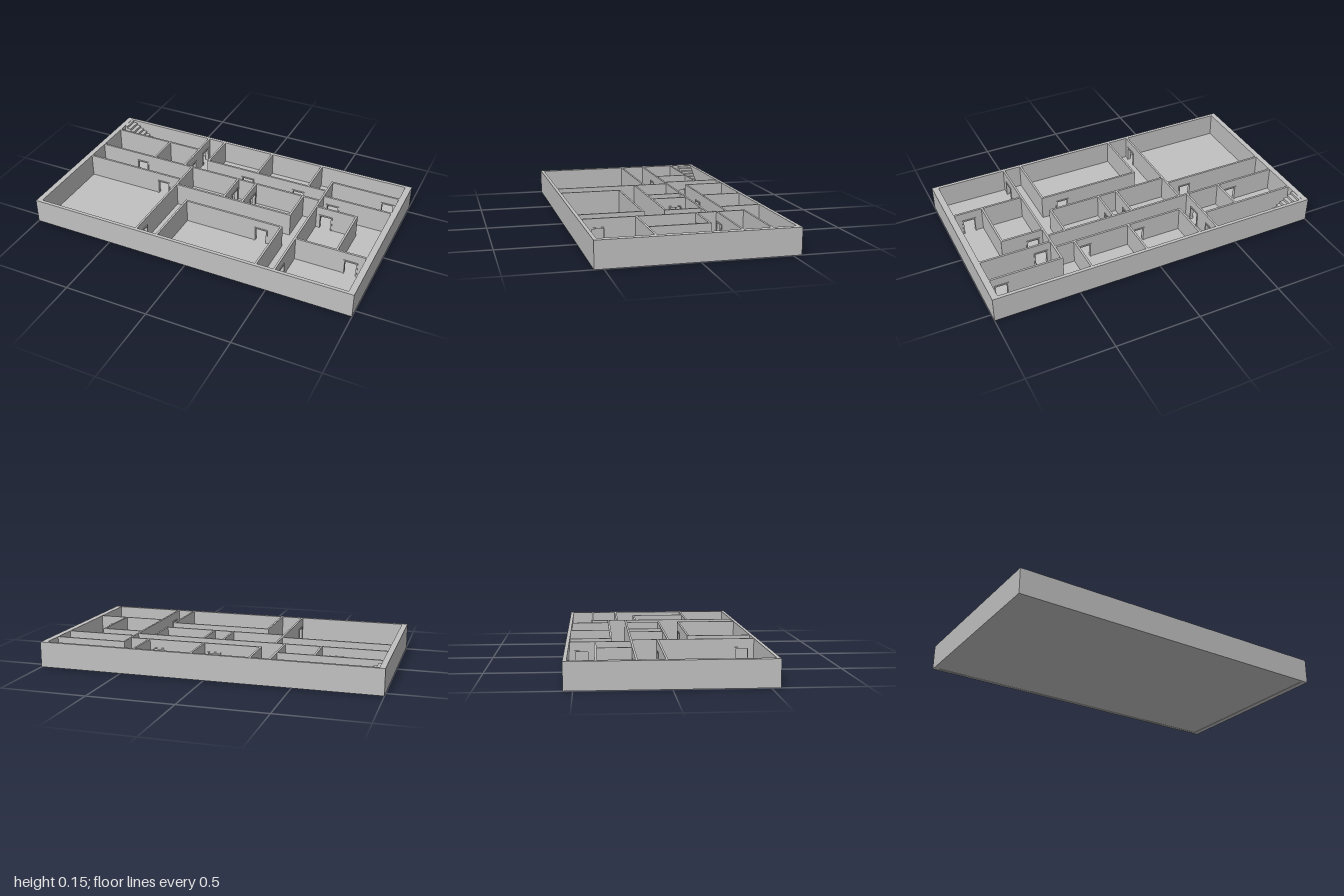
import * as THREE from 'three';

const H = 0.15;        // wall height
const T = 0.012;       // partition thickness
const FLOOR = 0.006;   // top of the floor slab
const DOOR_H = 0.1;    // top of the door frames
const DOOR_W = 0.084;
const JAMB = 0.008;
const FRAME_T = 0.02;  // frames stand slightly proud of the walls

// Partitions along x: [z, xStart, xEnd, ...door centres]
const wallsX = [
  [-0.385, -0.97, -0.375],
  [-0.18, -0.97, 0.54, -0.68],
  [-0.027, -0.97, -0.32, -0.443],
  [0.033, -0.32, 0.43],
  [0.163, -0.185, 0.43, 0.305],
  [-0.292, -0.26, 0.54, 0.018, 0.36],
  [-0.395, 0.54, 0.965, 0.9],
  [-0.235, 0.54, 0.965, 0.605],
  [-0.115, 0.54, 0.79, 0.605],
  [0.227, 0.54, 0.965, 0.877],
];

// Partitions along z: [x, zStart, zEnd, ...door centres]
const wallsZ = [
  [-0.375, -0.535, -0.18, -0.46, -0.283],
  [-0.59, -0.385, -0.18],
  [-0.26, -0.535, -0.292],
  [0.08, -0.535, -0.292],
  [0.42, -0.535, -0.292],
  [-0.32, -0.18, 0.535, 0.46],
  [0, -0.18, 0.033, -0.115],
  [0.12, -0.18, 0.033, -0.115],
  [0.43, -0.18, 0.033],
  [-0.185, 0.163, 0.535],
  [0.43, 0.163, 0.535],
  [0.54, -0.395, 0.535, 0.443],
  [0.79, -0.115, 0.227],
];

export function createModel() {
  const model = new THREE.Group();
  const plaster = new THREE.MeshStandardMaterial({ color: 0xc0c0c0 });
  plaster.name = 'plaster grey';

  // Box given by its limits
  function block(parent, name, x0, x1, y0, y1, z0, z1) {
    const mesh = new THREE.Mesh(new THREE.BoxGeometry(x1 - x0, y1 - y0, z1 - z0), plaster);
    mesh.position.set((x0 + x1) / 2, (y0 + y1) / 2, (z0 + z1) / 2);
    mesh.name = name;
    parent.add(mesh);
  }

  // Floor slab, just above the bottom edge of the outer walls
  block(model, 'floor', -0.98, 0.98, 0.002, FLOOR, -0.54, 0.54);

  // Outer walls as one ring
  const ring = new THREE.Shape();
  ring.moveTo(-1, -0.55).lineTo(1, -0.55).lineTo(1, 0.55).lineTo(-1, 0.55).closePath();
  const hole = new THREE.Path();
  hole.moveTo(-0.967, -0.53).lineTo(-0.967, 0.53).lineTo(0.963, 0.53).lineTo(0.963, -0.53).closePath();
  ring.holes.push(hole);
  const ringGeo = new THREE.ExtrudeGeometry(ring, { depth: H, bevelEnabled: false });
  ringGeo.rotateX(-Math.PI / 2);
  const outer = new THREE.Mesh(ringGeo, plaster);
  outer.name = 'outerWalls';
  model.add(outer);

  // One partition with door openings, framed on both sides
  function partition([at, start, end, ...doors], alongX) {
    const group = new THREE.Group();
    group.name = 'partition';
    const piece = (name, a, b, y0, y1, t) => alongX
      ? block(group, name, a, b, y0, y1, at - t / 2, at + t / 2)
      : block(group, name, at - t / 2, at + t / 2, y0, y1, a, b);
    let from = start - T / 2;
    for (const d of doors) {
      const a = d - DOOR_W / 2, b = d + DOOR_W / 2;
      piece('wall', from, a, 0.003, H, T);
      piece('lintel', a, b, DOOR_H, H, T);
      piece('doorJamb', a, a + JAMB, 0.003, DOOR_H, FRAME_T);
      piece('doorJamb', b - JAMB, b, 0.003, DOOR_H, FRAME_T);
      piece('doorHead', a + JAMB, b - JAMB, DOOR_H - JAMB, DOOR_H, FRAME_T);
      from = b;
    }
    piece('wall', from, end + T / 2, 0.003, H, T);
    model.add(group);
  }
  wallsX.forEach((w) => partition(w, true));
  wallsZ.forEach((w) => partition(w, false));

  // Stairs falling from the back corner towards +x, with a small top landing
  const STEPS = 8, RUN = 0.0243, RISE = (H - FLOOR) / (STEPS + 1);
  const profile = new THREE.Shape();
  profile.moveTo(-0.968, FLOOR);
  profile.lineTo(-0.95 + STEPS * RUN, FLOOR);
  for (let i = STEPS; i > 0; i--) {
    const y = H - i * RISE;
    profile.lineTo(-0.95 + i * RUN, y);
    profile.lineTo(-0.95 + (i - 1) * RUN, y);
  }
  profile.lineTo(-0.95, H - 0.002);
  profile.lineTo(-0.968, H - 0.002);
  const stairs = new THREE.Mesh(
    new THREE.ExtrudeGeometry(profile, { depth: 0.092, bevelEnabled: false }), plaster);
  stairs.position.z = -0.532;
  stairs.name = 'stairs';
  model.add(stairs);

  return model;
}
